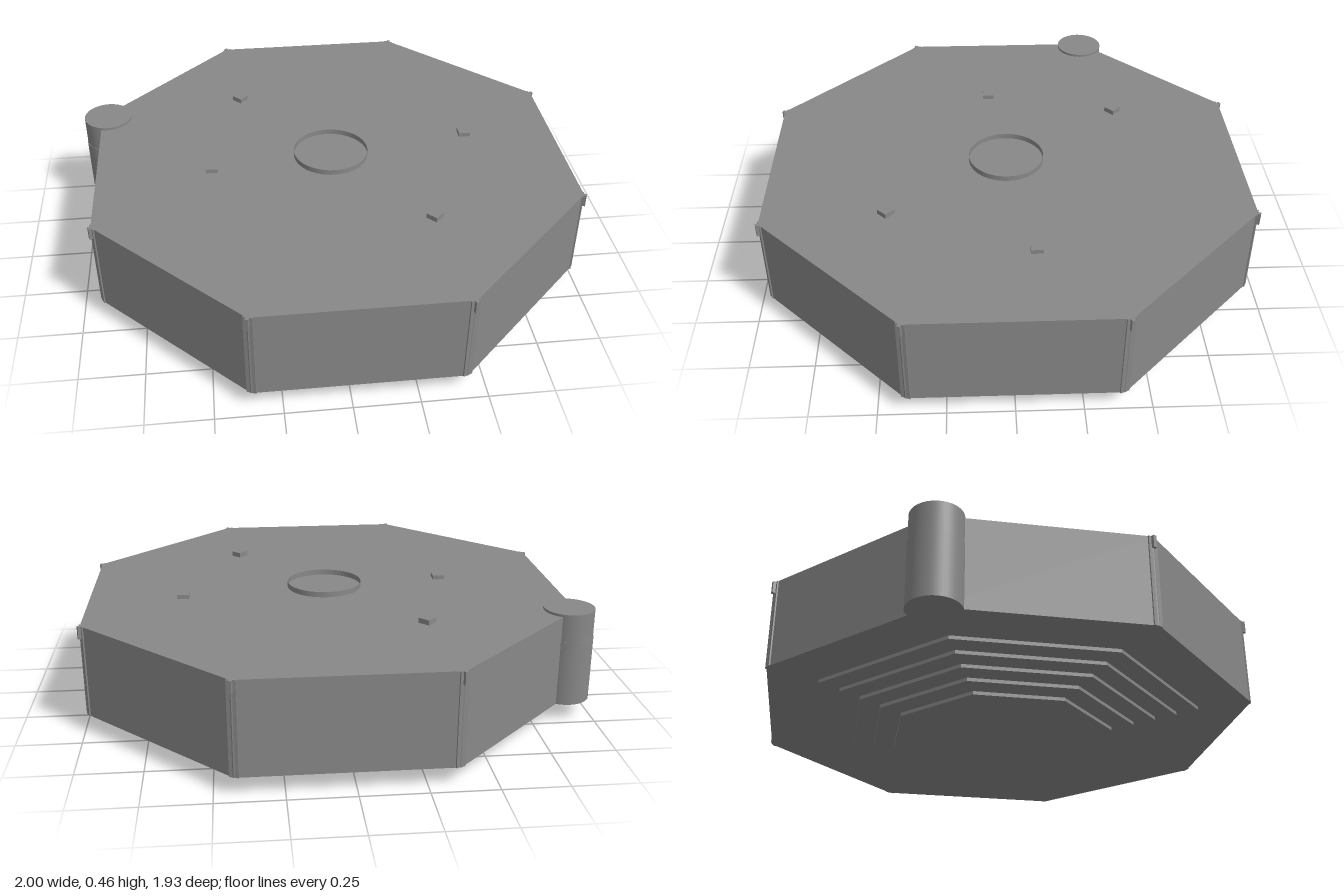
import * as THREE from 'three';

const CX = 0.032;       // octagon centre, offset by the side pillar
const APOTHEM = 0.955;
const BASE = 0.07, TOP = 0.435;
const COLOR = 0x888888;
const material = new THREE.MeshStandardMaterial({ color: COLOR });
const flat = new THREE.MeshStandardMaterial({ color: COLOR, flatShading: true });
const thin = new THREE.MeshStandardMaterial({ color: COLOR, side: THREE.DoubleSide });

export function createModel() {
  const group = new THREE.Group();

  function add(parent, name, geometry, x, y, z, mat = material) {
    const mesh = new THREE.Mesh(geometry, mat);
    mesh.name = name;
    mesh.position.set(x, y, z);
    parent.add(mesh);
    return mesh;
  }

  // Octagonal slab with flat sides facing the axes
  function octagon(name, apothem, y0, y1) {
    const r = apothem / Math.cos(Math.PI / 8);
    const geometry = new THREE.CylinderGeometry(r, r, y1 - y0, 8);
    geometry.rotateY(Math.PI / 8);
    add(group, name, geometry, CX, (y0 + y1) / 2, 0, flat);
  }
  octagon('body', APOTHEM, BASE, TOP);

  // Stepped underside
  const step = BASE / 5;
  [0.432, 0.517, 0.599, 0.679, 0.761].forEach((a, i) =>
    octagon('bottomStep' + (i + 1), a, i * step, (i + 1) * step));

  // Corner trim: two upright battens with a groove between, and a clip at the top
  const R = APOTHEM / Math.cos(Math.PI / 8);
  const height = TOP - BASE;
  for (let i = 0; i < 8; i++) {
    const corner = new THREE.Group();
    corner.name = 'cornerTrim' + (i + 1);
    corner.position.x = CX;
    corner.rotation.y = Math.PI / 8 + i * Math.PI / 4;
    for (const s of [-1, 1]) {
      add(corner, 'batten', new THREE.BoxGeometry(0.016, height, 0.02),
        s * 0.0105, BASE + height / 2, R - 0.012);
    }
    add(corner, 'clip', new THREE.BoxGeometry(0.014, 0.05, 0.022), 0, TOP - 0.025, R - 0.001);
    group.add(corner);
  }

  // Open ring in the middle of the top
  add(group, 'centreRing', new THREE.CylinderGeometry(0.152, 0.152, 0.022, 48, 1, true),
    CX, TOP + 0.011, 0, thin);

  // Small studs around the ring: x, z, turn, height
  const studs = [
    [-0.318, -0.478, Math.PI / 4, 0.02], [0.377, 0.473, Math.PI / 4, 0.02],
    [0.612, -0.093, 0, 0.017], [-0.46, 0.062, 0, 0.017],
  ];
  for (const [x, z, turn, h] of studs) {
    const stud = add(group, 'stud', new THREE.BoxGeometry(0.048, h, 0.048), x, TOP + h / 2, z);
    stud.rotation.y = turn;
  }

  // Round pillar at the back right corner, with a slightly narrower top
  add(group, 'pillar', new THREE.CylinderGeometry(0.102, 0.102, 0.262, 40), -0.898, BASE + 0.131, -0.385);
  add(group, 'pillarCap', new THREE.CylinderGeometry(0.1, 0.1, 0.113, 40), -0.898, 0.3885, -0.385);

  return group;
}
